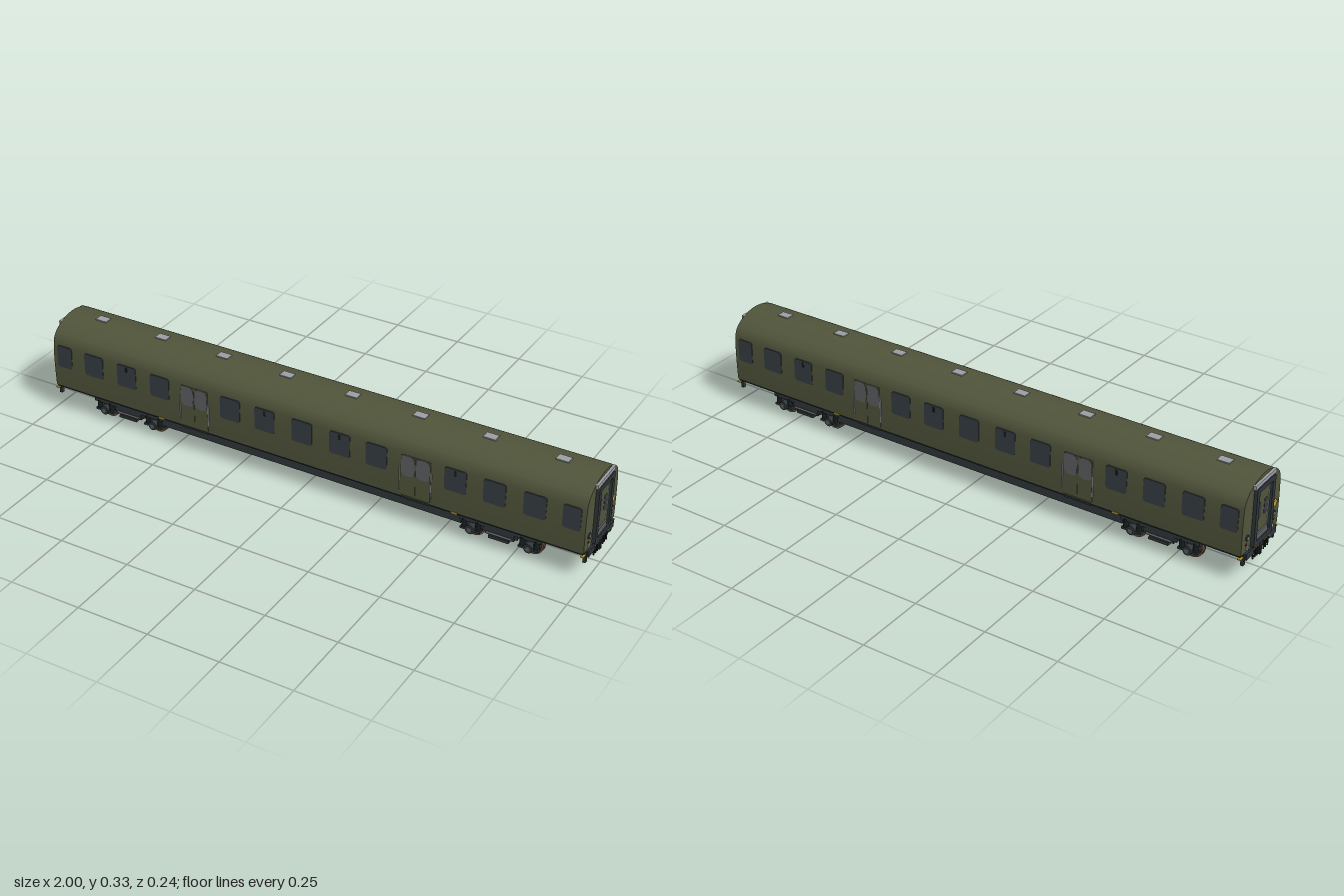
import * as THREE from 'three';
import { toCreasedNormals } from 'three/addons/utils/BufferGeometryUtils.js';

const mat = (name, color) => Object.assign(new THREE.MeshStandardMaterial({ color }), { name });

export function createModel() {
  const olive = mat('olive paint', 0x50543a), glass = mat('window glass', 0x363d42);
  const steel = mat('dark steel', 0x2e3538), black = mat('underside black', 0x181c1d);
  const grey = mat('light grey', 0x9a9da2), midGrey = mat('door glass grey', 0x5b5e60);
  const rust = mat('rusty wheel', 0x6e4e3b), yellow = mat('yellow marking', 0xc8a428);
  const red = mat('red lamp', 0x7c2f26);
  const model = new THREE.Group();
  model.name = 'passengerCarriage';

  const add = (parent, name, geo, material, x = 0, y = 0, z = 0) => {
    const m = new THREE.Mesh(geo, material);
    m.name = name;
    m.position.set(x, y, z);
    parent.add(m);
    return m;
  };
  const box = (parent, name, material, w, h, d, x, y, z) =>
    add(parent, name, new THREE.BoxGeometry(w, h, d), material, x, y, z);
  const group = (parent, name, x = 0, y = 0, z = 0) => {
    const g = new THREE.Group();
    g.name = name;
    g.position.set(x, y, z);
    parent.add(g);
    return g;
  };
  // Cylinder lying along x or z
  const rod = (parent, name, material, r, len, axis, x, y, z, sides = 16) => {
    const m = add(parent, name, new THREE.CylinderGeometry(r, r, len, sides), material, x, y, z);
    if (axis === 'z') m.rotation.x = Math.PI / 2;
    if (axis === 'x') m.rotation.z = Math.PI / 2;
    return m;
  };
  const roundRect = (C, w, h, r) => {
    const s = new C(), a = w / 2 - r, b = h / 2 - r;
    s.absarc(a, b, r, 0, Math.PI / 2);
    s.absarc(-a, b, r, Math.PI / 2, Math.PI);
    s.absarc(-a, -b, r, Math.PI, Math.PI * 1.5);
    s.absarc(a, -b, r, Math.PI * 1.5, Math.PI * 2);
    s.closePath();
    return s;
  };
  const plate = (shape, depth) =>
    new THREE.ExtrudeGeometry(shape, { depth, bevelEnabled: false, curveSegments: 6 });

  // Body shell: arched section extruded along the length
  const flank = [[0.116, 0.097], [0.118, 0.15], [0.118, 0.215], [0.115, 0.258], [0.111, 0.275],
    [0.102, 0.291], [0.082, 0.308], [0.055, 0.321], [0.028, 0.329], [0, 0.332]];
  const half = new THREE.SplineCurve(flank.map(p => new THREE.Vector2(...p))).getPoints(36);
  const section = new THREE.Shape([...half, ...half.slice(0, -1).reverse().map(p => new THREE.Vector2(-p.x, p.y))]);
  const shellGeo = new THREE.ExtrudeGeometry(section, { depth: 1.976, bevelEnabled: false });
  shellGeo.translate(0, 0, -0.988).rotateY(Math.PI / 2);
  add(model, 'bodyShell', toCreasedNormals(shellGeo, 0.6), olive);
  box(model, 'floorUnderside', black, 1.97, 0.008, 0.228, 0, 0.094, 0);

  // Roof vents
  for (let i = 0; i < 8; i++) box(model, 'roofVent', grey, 0.043, 0.006, 0.03, -0.857 + i * 0.2445, 0.3315, 0);

  // Underframe trough between the bogies
  box(model, 'underframe', [steel, steel, steel, black, steel, steel], 1.13, 0.045, 0.19, 0, 0.0715, 0);

  // One side with windows and doors; the other side is the same turned round
  const windowGeo = plate(roundRect(THREE.Shape, 0.076, 0.082, 0.009), 0.004);
  const smallGeo = plate(roundRect(THREE.Shape, 0.06, 0.082, 0.009), 0.004);
  const doorGlassGeo = plate(roundRect(THREE.Shape, 0.048, 0.075, 0.018), 0.004);
  const leafGeo = plate(roundRect(THREE.Shape, 0.052, 0.15, 0.003), 0.003);
  for (const turn of [0, Math.PI]) {
    const side = group(model, 'carriageSide');
    side.rotation.y = turn;
    for (const s of [-1, 1]) {
      add(side, 'endWindow', smallGeo, glass, s * 0.942, 0.216, 0.1155);
      for (const x of [0.14, 0.273, 0.551, 0.685, 0.82]) add(side, 'window', windowGeo, glass, s * x, 0.216, 0.1155);
      const door = group(side, 'doubleDoor', s * 0.413, 0, 0);
      for (const k of [-1, 1]) {
        add(door, 'doorLeaf', leafGeo, olive, k * 0.0265, 0.178, 0.1165);
        add(door, 'doorWindow', doorGlassGeo, midGrey, k * 0.027, 0.216, 0.1168);
        box(door, 'handrail', grey, 0.003, 0.088, 0.003, k * 0.056, 0.168, 0.1205);
      }
      box(door, 'doorStep', steel, 0.1, 0.006, 0.018, 0, 0.092, 0.108);
      for (let i = -2; i <= 2; i++) box(door, 'stepTread', grey, 0.01, 0.004, 0.004, i * 0.015, 0.086, 0.1);
      box(side, 'yellowMark', yellow, 0.022, 0.006, 0.004, s * 0.55, 0.094, 0.1165);
    }
    add(side, 'window', windowGeo, glass, 0, 0.216, 0.1155);
    for (const x of [-0.685, -0.14, 0.14, 0.551]) box(side, 'windowCatch', black, 0.008, 0.018, 0.002, x, 0.242, 0.1198);
  }

  // Bogies
  for (const s of [-1, 1]) {
    const bogie = group(model, 'bogie', s * 0.7, 0, 0);
    box(bogie, 'bolster', steel, 0.06, 0.04, 0.17, 0, 0.062, 0);
    box(bogie, 'crossBeam', steel, 0.02, 0.015, 0.19, -0.05, 0.058, 0);
    box(bogie, 'crossBeam', steel, 0.02, 0.015, 0.19, 0.05, 0.058, 0);
    for (const a of [-0.1, 0.1]) {
      rod(bogie, 'axle', steel, 0.007, 0.18, 'z', a, 0.037, 0);
      box(bogie, 'brakeHanger', black, 0.008, 0.055, 0.004, a * 0.55, 0.042, 0.028);
      box(bogie, 'brakeHanger', black, 0.008, 0.055, 0.004, a * 0.55, 0.042, -0.028);
      for (const k of [-1, 1]) {
        rod(bogie, 'wheel', rust, 0.037, 0.01, 'z', a, 0.037, k * 0.062, 28);
        rod(bogie, 'wheelFlange', rust, 0.039, 0.003, 'z', a, 0.039, k * 0.0555, 28);
        rod(bogie, 'wheelFace', steel, 0.032, 0.003, 'z', a, 0.037, k * 0.067, 28);
        rod(bogie, 'axleBox', steel, 0.016, 0.026, 'z', a, 0.04, k * 0.09);
        rod(bogie, 'axleCap', midGrey, 0.008, 0.004, 'z', a, 0.04, k * 0.104);
        for (const d of [-0.024, 0.024])
          rod(bogie, 'coilSpring', black, 0.009, 0.03, 'y', a + d, 0.057, k * 0.092, 10);
        box(bogie, 'springSeat', steel, 0.07, 0.007, 0.02, a, 0.039, k * 0.092);
      }
    }
    for (const k of [-1, 1]) {
      box(bogie, 'sideFrame', steel, 0.28, 0.013, 0.018, 0, 0.073, k * 0.09);
      box(bogie, 'frameDrop', steel, 0.1, 0.025, 0.014, 0, 0.056, k * 0.09);
      box(bogie, 'springPlank', steel, 0.07, 0.01, 0.02, 0, 0.04, k * 0.095);
      rod(bogie, 'damper', midGrey, 0.004, 0.09, 'x', 0, 0.052, k * 0.102, 8);
    }
  }

  // Carriage ends
  const frame = roundRect(THREE.Shape, 0.118, 0.208, 0.01);
  frame.holes.push(roundRect(THREE.Path, 0.084, 0.172, 0.004));
  const frameGeo = plate(frame, 0.014).rotateY(Math.PI / 2);
  const trim = roundRect(THREE.Shape, 0.084, 0.174, 0.004);
  trim.holes.push(roundRect(THREE.Path, 0.078, 0.168, 0.003));
  const trimGeo = plate(trim, 0.005).rotateY(Math.PI / 2);
  const endGlass = plate(roundRect(THREE.Shape, 0.02, 0.058, 0.006), 0.002).rotateY(Math.PI / 2);
  for (const turn of [0, Math.PI]) {
    const end = group(model, 'carriageEnd');
    end.rotation.y = turn;
    add(end, 'gangwayFrame', frameGeo, steel, 0.986, 0.202, 0);
    add(end, 'doorTrim', trimGeo, grey, 0.986, 0.2015, 0);
    box(end, 'endDoor', olive, 0.004, 0.166, 0.076, 0.9885, 0.2, 0);
    box(end, 'gangwayHood', grey, 0.009, 0.014, 0.132, 0.992, 0.312, 0);
    box(end, 'treadPlate', midGrey, 0.006, 0.034, 0.07, 0.993, 0.12, 0);
    box(end, 'bufferBeam', steel, 0.012, 0.024, 0.205, 0.986, 0.086, 0);
    rod(end, 'coupler', steel, 0.01, 0.02, 'x', 0.987, 0.084, 0);
    box(end, 'couplerHook', black, 0.008, 0.035, 0.012, 0.993, 0.066, 0);
    box(end, 'electricBox', yellow, 0.006, 0.018, 0.027, 0.99, 0.185, -0.079);
    box(end, 'electricBoxHandle', yellow, 0.005, 0.004, 0.014, 0.99, 0.186, -0.093);
    for (const k of [-1, 1]) {
      add(end, 'endDoorWindow', endGlass, glass, 0.9895, 0.209, k * 0.02);
      rod(end, 'lampRim', steel, 0.01, 0.006, 'x', 0.989, 0.147, k * 0.085);
      rod(end, 'lampLens', grey, 0.006, 0.003, 'x', 0.9925, 0.147, k * 0.085);
      box(end, 'redReflector', red, 0.004, 0.005, 0.007, 0.988, 0.125, k * 0.089);
      box(end, 'lampBracket', grey, 0.006, 0.012, 0.01, 0.989, 0.108, k * 0.08);
      box(end, 'bufferBlock', steel, 0.012, 0.022, 0.045, 0.991, 0.086, k * 0.073);
      box(end, 'footstep', yellow, 0.012, 0.004, 0.016, 0.984, 0.086, k * 0.111);
      box(end, 'cornerPost', steel, 0.01, 0.03, 0.012, 0.985, 0.07, k * 0.095);
      for (const z of [0.022, 0.034, 0.048]) {
        rod(end, 'brakeHose', black, 0.003, 0.035, 'y', 0.994, 0.072, k * z, 8);
        box(end, 'hoseTap', z === 0.034 ? grey : yellow, 0.004, 0.005, 0.006, 0.996, 0.091, k * z);
      }
    }
  }
  return model;
}
